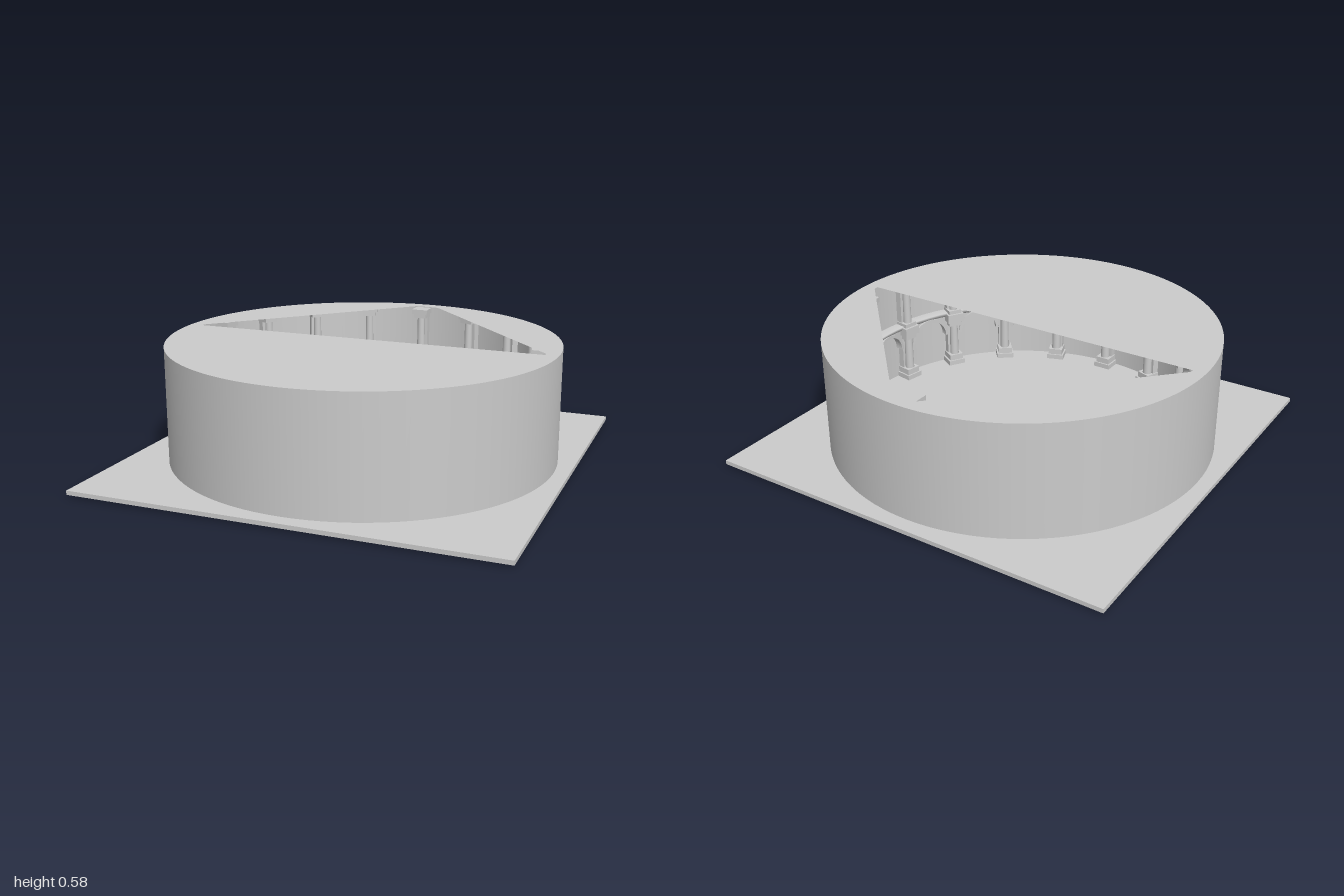
import * as THREE from 'three';

const OUTER = 0.93, INNER = 0.87, TOP = 0.58, FLOOR = 0.03, BAYS = 18;
const STEP = (Math.PI * 2) / BAYS;
const START = Math.PI / 2 - 0.012;

const grey = new THREE.MeshStandardMaterial({ color: 0xcccccc });
const greyDouble = new THREE.MeshStandardMaterial({ color: 0xcccccc, side: THREE.DoubleSide });

function add(parent, name, geometry, material = grey) {
  const mesh = new THREE.Mesh(geometry, material);
  mesh.name = name;
  parent.add(mesh);
  return mesh;
}

// Disc with the triangular opening, lying flat
function capGeometry() {
  const shape = new THREE.Shape().absarc(0, 0, OUTER, 0, Math.PI * 2);
  const opening = [[-0.868, 0], [-0.866, 0.02], [-0.035, 0.865], [0.05, 0.867], [0.09, 0.862], [0.866, 0.025], [0.868, 0]];
  shape.holes.push(new THREE.Path(opening.map(([x, y]) => new THREE.Vector2(x, y))));
  return new THREE.ShapeGeometry(shape, 96).rotateX(-Math.PI / 2);
}

// Block whose front stands at radius `front` and whose back meets the wall
function block(parent, name, front, width, y0, y1) {
  const depth = INNER - front;
  add(parent, name, new THREE.BoxGeometry(depth, y1 - y0, width)).position.set(front + depth / 2, (y0 + y1) / 2, 0);
}

function shaft(parent, name, y0, y1, r) {
  add(parent, name, new THREE.CylinderGeometry(r * 0.9, r, y1 - y0, 16)).position.set(0.823, (y0 + y1) / 2, 0);
}

// Two-storey wall column; local +x points outward
function makeColumn() {
  const column = new THREE.Group();
  column.name = 'column';
  block(column, 'pilaster', 0.835, 0.062, FLOOR, TOP - 0.004);
  block(column, 'plinth', 0.785, 0.09, FLOOR, 0.055);
  block(column, 'pedestal', 0.793, 0.074, 0.055, 0.085);
  shaft(column, 'lowerShaft', 0.085, 0.265, 0.023);
  block(column, 'lowerCapital', 0.797, 0.07, 0.255, 0.28);
  block(column, 'entablature', 0.785, 0.09, 0.28, 0.325);
  block(column, 'upperBase', 0.796, 0.07, 0.325, 0.345);
  shaft(column, 'upperShaft', 0.345, 0.54, 0.021);
  block(column, 'upperCapital', 0.797, 0.068, 0.53, 0.55);
  block(column, 'topBlock', 0.79, 0.084, 0.55, TOP - 0.004);
  return column;
}

// Spandrel above a round-headed opening, with a raised rim
function archShape(halfWidth, r, spring, crown) {
  const shape = new THREE.Shape();
  shape.moveTo(-halfWidth, spring);
  shape.lineTo(-r, spring);
  shape.absarc(0, spring, r, Math.PI, 0, true);
  shape.lineTo(halfWidth, spring);
  shape.lineTo(halfWidth, crown);
  shape.lineTo(-halfWidth, crown);
  return shape;
}

function makeArch() {
  const arch = new THREE.Group();
  arch.name = 'arch';
  const extrude = (shape, depth, x) => {
    const g = new THREE.ExtrudeGeometry(shape, { depth, bevelEnabled: false, curveSegments: 16 });
    return g.rotateY(Math.PI / 2).translate(x, 0, 0);
  };
  add(arch, 'spandrel', extrude(archShape(0.147, 0.1, 0.2, 0.318), 0.03, 0.828));
  const rim = new THREE.Shape().absarc(0, 0.2, 0.112, 0, Math.PI, false);
  rim.absarc(0, 0.2, 0.097, Math.PI, 0, true);
  add(arch, 'archRim', extrude(rim, 0.02, 0.818));
  return arch;
}

export function createModel() {
  const model = new THREE.Group();
  model.name = 'roundHall';

  // Square ground plate
  add(model, 'basePlate', new THREE.BoxGeometry(2, 0.02, 2)).position.y = 0.02;

  // Drum walls and the two pierced caps
  add(model, 'outerWall', new THREE.CylinderGeometry(OUTER, OUTER, TOP, 96, 1, true), greyDouble).position.y = TOP / 2;
  add(model, 'innerWall', new THREE.CylinderGeometry(INNER, INNER, TOP - FLOOR, 96, 1, true), greyDouble).position.y = (TOP + FLOOR) / 2;
  add(model, 'roof', capGeometry(), greyDouble).position.y = TOP;
  add(model, 'underside', capGeometry(), greyDouble);

  // Cornice ring between the storeys
  const profile = [[INNER, 0.305], [0.83, 0.305], [0.815, 0.318], [0.815, 0.33], [INNER, 0.33]];
  add(model, 'cornice', new THREE.LatheGeometry(profile.map(([x, y]) => new THREE.Vector2(x, y)), 72), greyDouble);

  // Ring of columns with an arch in every bay
  for (let i = 0; i < BAYS; i++) {
    const column = makeColumn();
    column.rotation.y = START + i * STEP;
    const arch = makeArch();
    arch.rotation.y = START + (i + 0.5) * STEP;
    model.add(column, arch);
  }
  return model;
}
